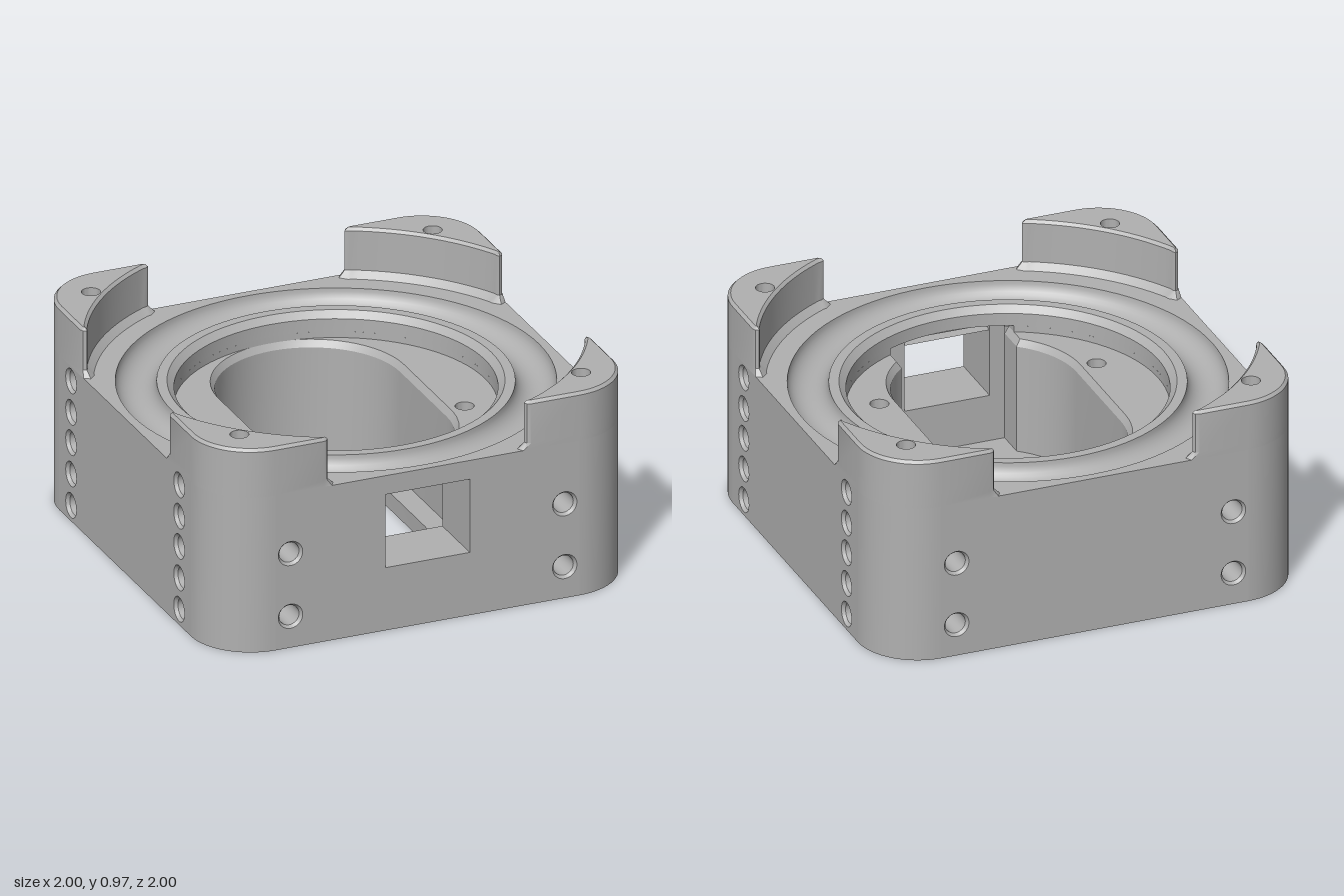
import * as THREE from 'three';
import { toCreasedNormals } from 'three/addons/utils/BufferGeometryUtils.js';

const V = (x, y) => new THREE.Vector2(x, y);
const DECK = 0.74, TOP = 0.97, FLOOR = 0.62, SILL = 0.08, R = 0.28;
const CORNERS = [[1, 1], [1, -1], [-1, -1], [-1, 1]];

// points on an arc, both ends included
const arc = (cx, cy, r, a0, a1, n = 16) => Array.from({ length: n + 1 }, (_, i) => {
  const a = a0 + (a1 - a0) * i / n;
  return V(cx + r * Math.cos(a), cy + r * Math.sin(a));
});
const circle = (x, y, r, n = 28) => arc(x, y, r, 0, Math.PI * 2, n).slice(0, n);

function shapeGeo(outline, holes = []) {
  const s = new THREE.Shape(outline);
  s.holes = holes.map(h => new THREE.Path(h));
  return new THREE.ShapeGeometry(s);
}

// horizontal plate: outline is in x, z
function plate(outline, holes, y, up) {
  const g = shapeGeo(outline, holes).rotateX(Math.PI / 2).translate(0, y, 0);
  if (up) g.index.array.reverse();
  g.computeVertexNormals();
  return g;
}

// wall through rows of { y, pts } with equal point counts
function loft(rows, closed) {
  const n = rows[0].pts.length, pos = [], idx = [];
  rows.forEach(r => r.pts.forEach(p => pos.push(p.x, r.y, p.y)));
  for (let j = 0; j < rows.length - 1; j++) {
    for (let i = 0; i < (closed ? n : n - 1); i++) {
      const a = j * n + i, b = j * n + (i + 1) % n, c = a + n, d = b + n;
      idx.push(a, c, b, b, c, d);
    }
  }
  const g = new THREE.BufferGeometry();
  g.setAttribute('position', new THREE.Float32BufferAttribute(pos, 3));
  g.setIndex(idx);
  return toCreasedNormals(g, 0.55);
}

// move each point of a closed outline along its outward normal
const offset = (pts, d) => pts.map((p, i) => {
  const a = pts[(i + pts.length - 1) % pts.length], b = pts[(i + 1) % pts.length];
  const t = b.clone().sub(a).normalize();
  return V(p.x + t.y * d, p.y - t.x * d);
});

// keyhole pocket outline, open at the front end
function keyhole(e) {
  const a = 0.42 + e, t = 0.27 + e, th = Math.acos(t / a);
  return [V(t, 0.7), ...arc(0, 0.24, a, th, 0, 10), ...arc(0, -0.27, a, 0, -Math.PI, 32),
    ...arc(0, 0.24, a, Math.PI, Math.PI - th, 10), V(-t, 0.7)];
}

export function createModel() {
  const group = new THREE.Group();
  const grey = new THREE.MeshStandardMaterial({ color: 0xb0b0b0, side: THREE.DoubleSide });
  grey.name = 'grey';
  const add = (name, geo, parent = group) => {
    const m = new THREE.Mesh(geo, grey);
    m.name = name;
    parent.add(m);
    return m;
  };

  const square = CORNERS.flatMap(([sx, sz], k) =>
    arc(sx * (1 - R), sz * (1 - R), R, Math.PI / 4 - k * Math.PI / 2 + Math.PI / 4, -k * Math.PI / 2));
  const oval = [...arc(0, 0.235, 0.32, 0, Math.PI, 24), ...arc(0, -0.27, 0.32, Math.PI, Math.PI * 2, 24)];
  const cornerHoles = CORNERS.map(([sx, sz]) => circle(sx * 0.81, sz * 0.81, 0.042));
  const throughHoles = [-1, 1].map(s => circle(s * 0.51, 0.23, 0.042));
  const blindHoles = [-1, 1].map(s => circle(s * 0.51, -0.51, 0.042));

  // outer walls
  const wall = [V(R - 1, 0), V(1 - R, 0), V(1 - R, DECK), V(R - 1, DECK)];
  const boltSpots = [-0.65, 0.65].flatMap(x => [0.15, 0.45].map(y => [x, y]));
  const sideSpots = [-0.59, 0.59].flatMap(z => [0.075, 0.225, 0.375, 0.52, 0.67].map(y => [z, y]));
  const bores = spots => spots.map(([x, y]) => circle(x, y, 0.058));
  const windowHole = [V(-0.2, 0.3), V(0.2, 0.3), V(0.2, 0.65), V(-0.2, 0.65)];
  add('frontWall', shapeGeo(wall, [...bores(boltSpots), windowHole]).translate(0, 0, 1));
  add('backWall', shapeGeo(wall, bores(boltSpots)).rotateY(Math.PI).translate(0, 0, -1));
  for (const s of [-1, 1]) {
    add('sideWall', shapeGeo(wall, bores(sideSpots)).rotateY(s * Math.PI / 2).translate(s, 0, 0));
  }

  // base, deck, pocket floor and pocket walls
  add('base', plate(square, [oval, ...cornerHoles, ...throughHoles, ...blindHoles], 0, false));
  add('deck', plate(square, [circle(0, 0, 0.96, 96), ...cornerHoles], DECK, true));
  add('boreFloor', plate(circle(0, 0, 0.78, 64), [keyhole(0.02), ...throughHoles], FLOOR, true));
  add('pocketFloor', plate(keyhole(0), [oval], SILL, true));
  add('ovalOpening', loft([{ y: 0, pts: oval }, { y: SILL, pts: oval }], true));
  add('pocketWall', loft([{ y: SILL, pts: keyhole(0) }, { y: 0.59, pts: keyhole(0) },
    { y: FLOOR, pts: keyhole(0.02) }], false));

  // ring groove, lip and bore
  const groove = Array.from({ length: 17 }, (_, i) => {
    const a = Math.PI * i / 16;
    return V(0.87 + 0.09 * Math.cos(a), DECK - 0.08 * Math.sin(a));
  });
  const ring = [...groove, V(0.735, DECK), V(0.705, 0.71), V(0.705, 0.65)].reverse();
  add('grooveRing', toCreasedNormals(new THREE.LatheGeometry(ring, 96), 0.5));
  add('boreWall', new THREE.LatheGeometry([V(0.705, FLOOR), V(0.705, 0.65)], 80, 0.424, Math.PI * 2 - 0.848));

  // window passage into the pocket
  add('passageEnd', shapeGeo([V(-0.27, SILL), V(0.27, SILL), V(0.27, 0.65), V(0.2, 0.65), V(0.2, 0.3),
    V(-0.2, 0.3), V(-0.2, 0.65), V(-0.27, 0.65)]).rotateY(Math.PI).translate(0, 0, 0.7));
  add('rimUnderside', plate([V(0.29, 0.7), V(-0.29, 0.7),
    ...arc(0, 0, 0.705, Math.PI / 2 + 0.424, Math.PI / 2 - 0.424)], [], 0.65, false));
  const across = [V(-0.2, 0.7), V(0.2, 0.7), V(0.2, 1), V(-0.2, 1)];
  add('passageFloor', plate(across, [], 0.3, true));
  add('passageCeiling', plate(across, [], 0.65, false));
  for (const s of [-1, 1]) {
    add('passageSide', loft([0.3, 0.65].map(y => ({ y, pts: [V(s * 0.2, 0.7), V(s * 0.2, 1)] })), false));
    add('rimCheek', loft([FLOOR, 0.65].map(y => ({ y, pts: [V(s * 0.29, 0.64), V(s * 0.29, 0.7)] })), false));
  }

  // corner posts with flared foot and bevelled top
  const outer = [V(1, 0.49), ...arc(1 - R, 1 - R, R, 0, Math.PI / 2), V(0.49, 1)];
  const tip = [V(0.474, 0.993), V(0.466, 0.978), V(0.478, 0.97)];
  const inner = [...tip, ...arc(0, 0, 1.085, 1.097, 0.474, 20), ...tip.map(p => V(p.y, p.x)).reverse()];
  const outline = [...outer, ...inner];
  const foot = offset(outline, 0.03).map((p, i) =>
    i < outer.length ? outline[i] : V(Math.min(p.x, 1), Math.min(p.y, 1)));
  const crown = offset(outline, -0.013);
  CORNERS.forEach((_, k) => {
    const post = new THREE.Group();
    post.name = 'cornerPost';
    post.rotation.y = k * Math.PI / 2;
    group.add(post);
    const edge = arc(1 - R, 1 - R, R, 0, Math.PI / 2);
    add('roundedCorner', loft([{ y: 0, pts: edge }, { y: DECK, pts: edge }], false), post);
    add('postSides', loft([{ y: DECK, pts: foot }, { y: 0.77, pts: outline },
      { y: 0.957, pts: outline }, { y: TOP, pts: crown }], true), post);
    add('postTop', plate(crown, [circle(0.81, 0.81, 0.042)], TOP, true), post);
  });

  // vertical holes
  const shaft = (name, pts, y) => add(name, loft([{ y: 0, pts }, { y, pts }], true));
  cornerHoles.forEach(h => shaft('cornerHole', h, TOP));
  throughHoles.forEach(h => shaft('floorHole', h, FLOOR));
  blindHoles.forEach(h => {
    shaft('blindHole', h, 0.4);
    add('blindHoleEnd', plate(h, [], 0.4, false));
  });

  // countersunk holes in the walls
  const sink = depth => [V(0.058, 0), V(0.047, -0.015), V(0.047, -depth)];
  const drill = pts => toCreasedNormals(new THREE.LatheGeometry(pts, 28), 0.4).rotateX(Math.PI / 2);
  const boltGeo = drill(sink(1)), sideGeo = drill([...sink(0.15), V(0, -0.15)]);
  for (const s of [-1, 1]) {
    for (const [x, y] of boltSpots) {
      const m = add('boltHole', boltGeo);
      m.position.set(x, y, s);
      if (s < 0) m.rotation.y = Math.PI;
    }
    for (const [z, y] of sideSpots) {
      const m = add('sideHole', sideGeo);
      m.position.set(s, y, z);
      m.rotation.y = s * Math.PI / 2;
    }
  }
  return group;
}
